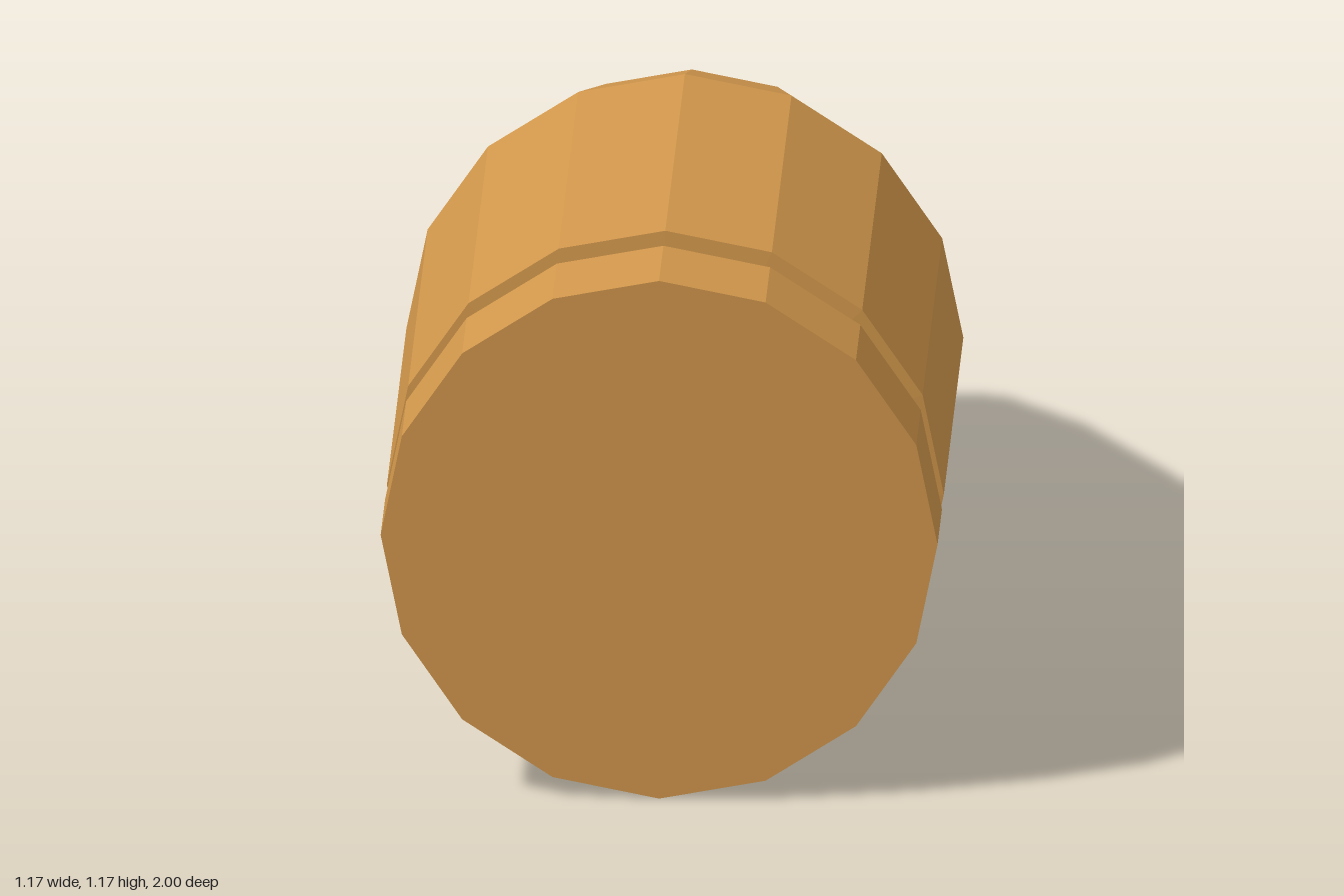
import * as THREE from 'three';

const SIDES = 16;
const R = 0.5875; // outer radius, also the height of the axis

export function createModel() {
  const group = new THREE.Group();
  group.name = 'bullet';
  const material = new THREE.MeshStandardMaterial({ color: 0xd0964b, flatShading: true });

  // Turned part: profile of [radius, z] pairs running from the front (+z) to the back
  const addTurned = (name, profile) => {
    const points = profile.map(([r, z]) => new THREE.Vector2(r, -z));
    const geometry = new THREE.LatheGeometry(points, SIDES);
    geometry.rotateX(-Math.PI / 2);
    const mesh = new THREE.Mesh(geometry, material);
    mesh.name = name;
    mesh.position.y = R;
    group.add(mesh);
  };

  // Flat-ended base rim
  addTurned('baseRim', [[0, 1], [R, 1], [R, 0.8], [0.533, 0.795]]);
  // Recessed ring between rim and body
  addTurned('groove', [[0.533, 0.795], [0.533, 0.72]]);
  // Straight body with the groove's back wall
  addTurned('body', [[0.533, 0.72], [R, 0.715], [R, -0.175]]);
  // Curved nose ending in a flat tip
  addTurned('nose', [[R, -0.175], [0.472, -0.49], [0.307, -0.82], [0.175, -1], [0, -1]]);

  return group;
}
